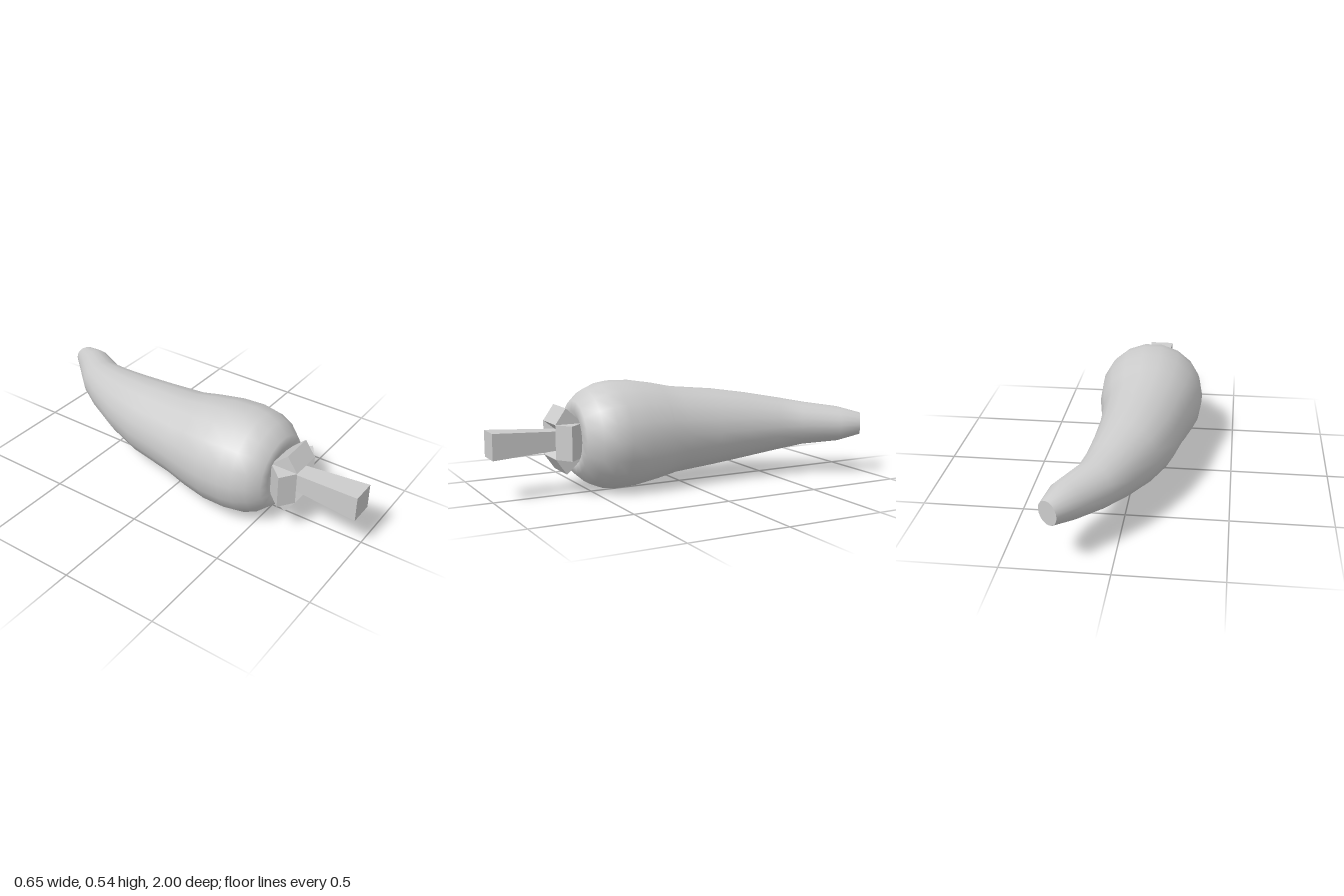
import * as THREE from 'three';

const CX = -0.045, CY = 0.27, SIDES = 18;

// Body rings from stem end to tip: [left x, left z, right x, right z]
const RINGS = [
  [-0.046, 0.53, -0.044, 0.53],
  [-0.12, 0.54, 0.03, 0.54],
  [-0.18, 0.565, 0.095, 0.58],
  [-0.235, 0.56, 0.14, 0.57],
  [-0.285, 0.505, 0.195, 0.505],
  [-0.313, 0.44, 0.222, 0.44],
  [-0.323, 0.37, 0.233, 0.37],
  [-0.323, 0.25, 0.226, 0.26],
  [-0.30, 0.12, 0.205, 0.13],
  [-0.27, 0, 0.185, 0.03],
  [-0.222, -0.26, 0.175, -0.16],
  [-0.155, -0.45, 0.178, -0.33],
  [-0.063, -0.635, 0.19, -0.5],
  [0.02, -0.767, 0.212, -0.635],
  [0.13, -0.89, 0.305, -0.82],
  [0.228, -1, 0.323, -0.93],
];

function ringPoint([lx, lz, rx, rz], j) {
  const a = (j / SIDES) * Math.PI * 2;
  const r = Math.hypot(rx - lx, rz - lz) / 2;
  const t = (1 + Math.cos(a)) / 2;
  return [lx + (rx - lx) * t, CY + r * 0.985 * Math.sin(a), lz + (rz - lz) * t];
}

function makeGeometry(positions, index) {
  const g = new THREE.BufferGeometry();
  g.setAttribute('position', new THREE.Float32BufferAttribute(positions, 3));
  if (index) g.setIndex(index);
  g.computeVertexNormals();
  return g;
}

// Smooth skin lofted through the rings
function bodyGeometry() {
  const pos = [], idx = [];
  RINGS.forEach((ring, i) => {
    for (let j = 0; j < SIDES; j++) {
      pos.push(...ringPoint(ring, j));
      if (i === RINGS.length - 1) continue;
      const k = (j + 1) % SIDES;
      const a = i * SIDES + j, b = i * SIDES + k;
      const c = a + SIDES, d = b + SIDES;
      idx.push(a, c, b, b, c, d);
    }
  });
  return makeGeometry(pos, idx);
}

// Flat blunt end
function tipGeometry() {
  const pos = [], ring = RINGS[RINGS.length - 1];
  for (let j = 1; j < SIDES - 1; j++) {
    pos.push(...ringPoint(ring, 0), ...ringPoint(ring, j + 1), ...ringPoint(ring, j));
  }
  return makeGeometry(pos);
}

// Wedge-shaped leaf extruded across the width of the stem end
function leafGeometry() {
  const s = new THREE.Shape([
    new THREE.Vector2(0.085, 0.695),
    new THREE.Vector2(0.045, 0.65),
    new THREE.Vector2(0.045, 0.55),
    new THREE.Vector2(0.085, 0.555),
    new THREE.Vector2(0.163, 0.64),
  ]);
  const g = new THREE.ExtrudeGeometry(s, { depth: 0.17, bevelEnabled: false });
  g.translate(0, 0, -0.085);
  g.rotateX(Math.PI / 2);
  // Mitre the inner edges so the four leaves form a funnel
  const p = g.attributes.position;
  for (let i = 0; i < p.count; i++) {
    if (p.getX(i) < 0.06) p.setY(i, Math.sign(p.getY(i)) * 0.045);
  }
  g.computeVertexNormals();
  return g;
}

// Square stem that widens toward its cut end
function stemGeometry() {
  const g = new THREE.BoxGeometry(0.13, 0.13, 0.4);
  const p = g.attributes.position;
  for (let i = 0; i < p.count; i++) {
    if (p.getZ(i) < 0) {
      p.setX(i, p.getX(i) * 0.66);
      p.setY(i, p.getY(i) * 0.66);
    }
  }
  g.computeVertexNormals();
  g.translate(CX, CY, 0.8);
  return g;
}

export function createModel() {
  const model = new THREE.Group();
  model.name = 'pepper';
  const grey = new THREE.MeshStandardMaterial({ color: 0xcccccc });
  grey.name = 'grey';

  const add = (name, geometry, parent = model) => {
    const mesh = new THREE.Mesh(geometry, grey);
    mesh.name = name;
    parent.add(mesh);
    return mesh;
  };

  add('body', bodyGeometry());
  add('tip', tipGeometry());
  add('stem', stemGeometry());

  const calyx = new THREE.Group();
  calyx.name = 'calyx';
  calyx.position.set(CX, CY, 0);
  model.add(calyx);
  const leaf = leafGeometry();
  for (let i = 0; i < 4; i++) add('leaf', leaf, calyx).rotation.z = (i * Math.PI) / 2;

  return model;
}
